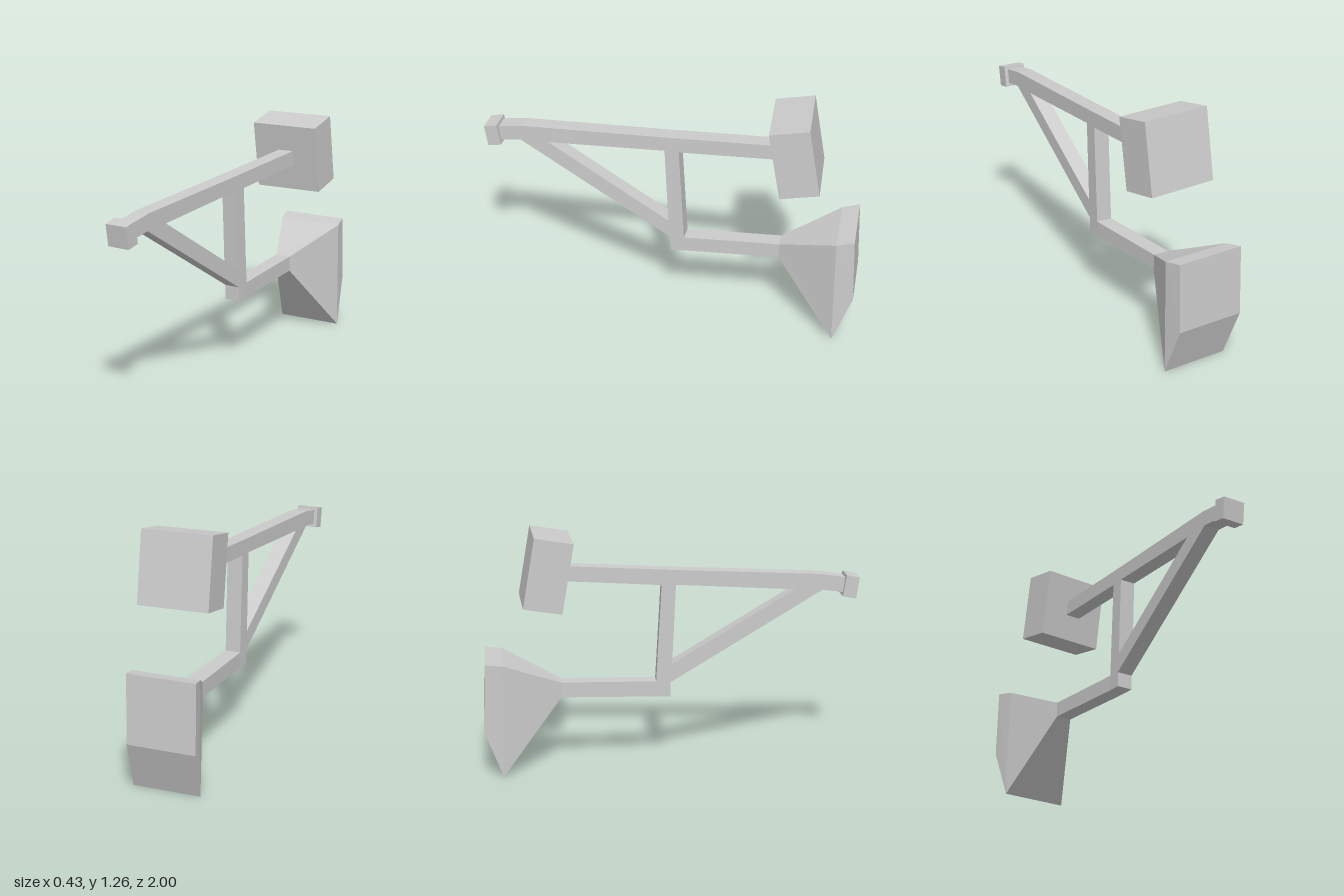
import * as THREE from 'three';

const material = new THREE.MeshStandardMaterial({ color: 0xcccccc, flatShading: true });

function addMesh(group, name, geometry) {
  const mesh = new THREE.Mesh(geometry, material);
  mesh.name = name;
  group.add(mesh);
}

// Four corners, seen from the front: top left, top right, bottom right, bottom left.
// skew moves the right-hand corners along z.
function ring(x0, x1, top, bottom, zTop, zBottom, skew = 0, lean = 0) {
  return [
    [x0, top, zTop], [x1, top, zTop + skew],
    [x1 + lean, bottom, zBottom + skew], [x0 + lean, bottom, zBottom],
  ];
}

// Closed faceted solid through four-cornered rings, ordered from front to back.
function loft(rings) {
  const positions = [];
  const quad = (a, b, c, d) => positions.push(...a, ...b, ...c, ...a, ...c, ...d);
  const first = rings[0], last = rings[rings.length - 1];
  quad(first[0], first[3], first[2], first[1]);
  quad(last[0], last[1], last[2], last[3]);
  for (let r = 0; r + 1 < rings.length; r++) {
    for (let i = 0; i < 4; i++) {
      const j = (i + 1) % 4;
      quad(rings[r][i], rings[r][j], rings[r + 1][j], rings[r + 1][i]);
    }
  }
  const geometry = new THREE.BufferGeometry();
  geometry.setAttribute('position', new THREE.Float32BufferAttribute(positions, 3));
  geometry.computeVertexNormals();
  return geometry;
}

export function createModel() {
  const model = new THREE.Group();
  model.name = 'model';
  const points = (list) => list.map(([z, y]) => new THREE.Vector2(z, y));

  // Flat frame: upper beam, upright and diagonal brace around a triangular opening
  const outline = new THREE.Shape(points([
    [0.925, 1.005], [0.797, 1.025], [0.01, 1.06], [-0.57, 1.09], [-0.57, 1.01],
    [-0.045, 0.98], [-0.075, 0.455], [-0.075, 0.371], [0, 0.368], [0, 0.447],
    [0.807, 0.94], [0.915, 0.925],
  ]));
  outline.holes.push(new THREE.Path(points([[0.657, 0.945], [0.03, 0.98], [0.01, 0.55]])));
  const frame = new THREE.ExtrudeGeometry(outline, { depth: 0.085, bevelEnabled: false });
  frame.rotateY(-Math.PI / 2).translate(0.068, 0, 0);
  addMesh(model, 'frame', frame);

  // Lower arm, drifting slightly sideways towards the back
  const neck = ring(-0.05, 0.035, 0.47, 0.388, -0.58, -0.58);
  addMesh(model, 'lowerArm', loft([
    ring(-0.017, 0.068, 0.455, 0.371, -0.075, -0.075),
    neck,
  ]));

  // Flared block on the lower arm, with a wedge-shaped back
  addMesh(model, 'flaredBlock', loft([
    neck,
    ring(-0.19, 0.172, 0.605, 0.003, -0.877, -0.887, -0.018),
    ring(-0.215, 0.15, 0.621, 0.26, -0.967, -0.982, -0.018),
  ]));

  // Tilted block at the back of the upper beam
  addMesh(model, 'upperBlock', loft([
    ring(-0.157, 0.213, 1.231, 0.866, -0.5, -0.565, -0.03, -0.005),
    ring(-0.175, 0.195, 1.267, 0.902, -0.7, -0.765, -0.03, -0.005),
  ]));

  // Collar on the front tip of the beam
  addMesh(model, 'frontCollar', loft([
    ring(-0.033, 0.087, 1.005, 0.892, 1.0, 0.983),
    ring(-0.035, 0.088, 1.02, 0.906, 0.93, 0.912),
  ]));

  return model;
}
